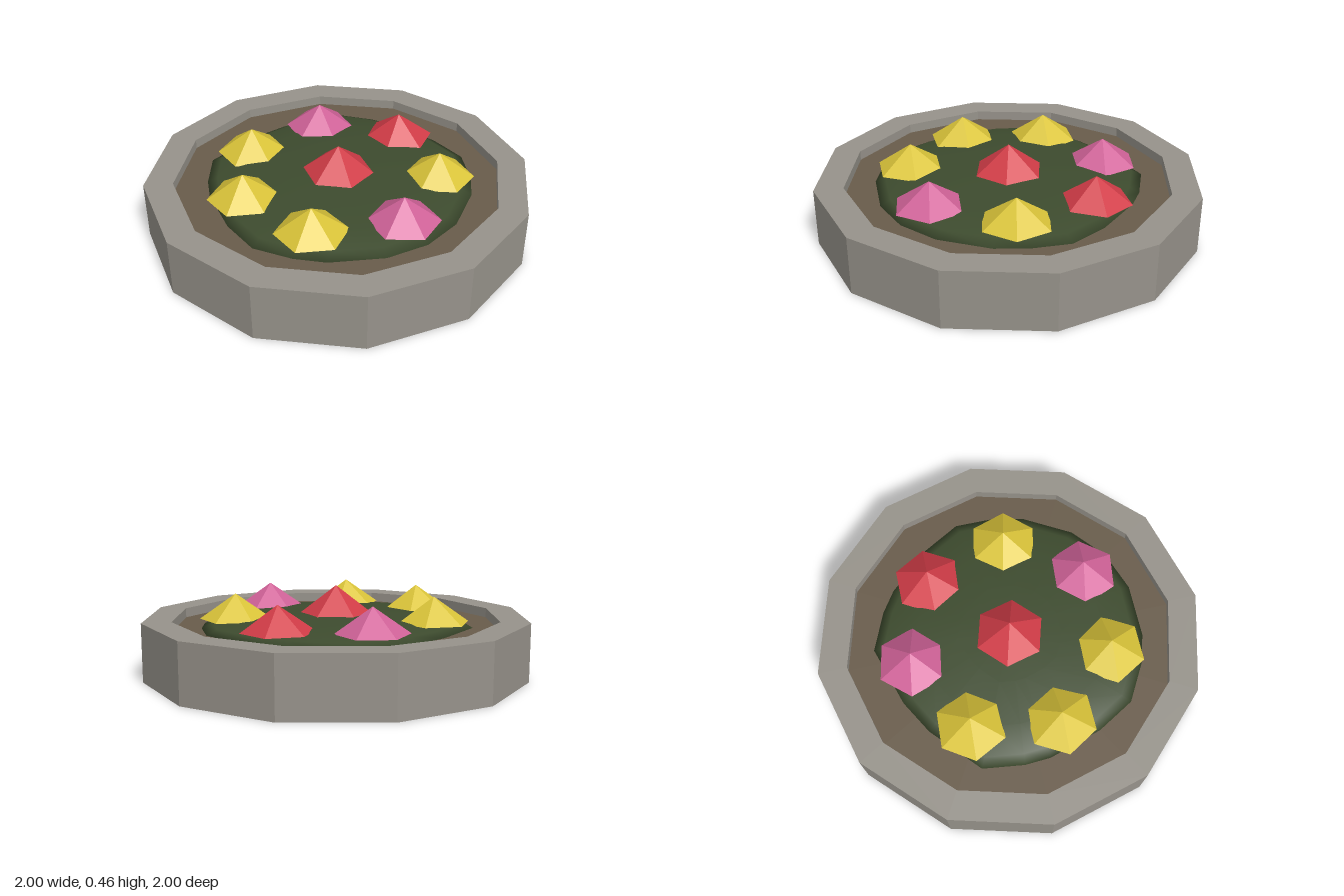
import * as THREE from 'three';
import { mergeVertices } from 'three/addons/utils/BufferGeometryUtils.js';

const SIDES = 12, SOIL_Y = 0.25, RIM_Y = 0.3, INNER = 0.85;

// Flattened mound with an irregular outline that mirrors front to back
function moundGeometry() {
  const half = [[-0.64, 0.1], [-0.57, 0.42], [-0.4, 0.55], [-0.28, 0.61], [0, 0.675],
    [0.22, 0.675], [0.4, 0.57], [0.52, 0.46], [0.66, 0.22]];
  const outline = [...half, [0.7, 0], ...half.map(([x, z]) => [x, -z]).reverse()];
  const profile = [];
  for (let j = 0; j <= 8; j++) {
    const a = (j / 8 - 0.5) * Math.PI;
    profile.push(new THREE.Vector2(Math.max(0, Math.cos(a)), Math.sin(a) * 0.068));
  }
  let geo = new THREE.LatheGeometry(profile, outline.length);
  const pos = geo.attributes.position;
  for (let i = 0; i < pos.count; i++) {
    const [x, z] = outline[Math.floor(i / profile.length) % outline.length];
    const r = profile[i % profile.length].x;
    pos.setX(i, x * r);
    pos.setZ(i, z * r);
  }
  geo.deleteAttribute('uv');
  geo.deleteAttribute('normal');
  geo = mergeVertices(geo, 1e-4);
  geo.computeVertexNormals();
  return geo;
}

export function createModel() {
  const group = new THREE.Group();
  const material = (name, color, extra) =>
    new THREE.MeshStandardMaterial({ name, color, ...extra });
  const flat = { flatShading: true };
  const open = { flatShading: true, side: THREE.DoubleSide };
  const stone = material('stone', 0x96928a, open);
  const soilBrown = material('soilBrown', 0x685b4a, open);
  const leafGreen = material('leafGreen', 0x3d4b2e);
  const red = material('red', 0xd13c47, flat);
  const yellow = material('yellow', 0xdac439, flat);
  const pink = material('pink', 0xd06298, flat);

  const add = (name, geo, mat, x = 0, y = 0, z = 0) => {
    const mesh = new THREE.Mesh(geo, mat);
    mesh.name = name;
    mesh.position.set(x, y, z);
    group.add(mesh);
    return mesh;
  };

  // Stone ring: outer wall, flat rim and inner lip, open underneath
  const ring = [[1, 0], [1, RIM_Y], [INNER, RIM_Y], [INNER, SOIL_Y]]
    .map(([x, y]) => new THREE.Vector2(x, y));
  add('stoneRing', new THREE.LatheGeometry(ring, SIDES), stone);

  // Soil bed and planted mound
  add('soil', new THREE.CircleGeometry(INNER, SIDES).rotateX(-Math.PI / 2), soilBrown, 0, SOIL_Y);
  add('foliageMound', moundGeometry(), leafGreen, 0, SOIL_Y);

  // Six-sided flowers; turn is the heading of the first corner in degrees
  const addFlower = (name, mat, radius, height, x, base, z, turn) => {
    const cone = new THREE.ConeGeometry(radius, height, 6);
    const mesh = add(name, cone, mat, x, base + height / 2, z);
    mesh.rotation.y = THREE.MathUtils.degToRad(30 - turn);
  };
  addFlower('centreFlower', red, 0.2, 0.155, 0, 0.302, 0, 16);

  const colours = [pink, yellow, yellow, yellow, pink, red, yellow];
  const turns = [8, 0, -1, 3, 11, 0, 12];
  colours.forEach((mat, i) => {
    const a = (i / colours.length) * Math.PI * 2;
    addFlower('flower' + (i + 1), mat, 0.185, 0.13,
      0.52 * Math.cos(a), 0.292, 0.52 * Math.sin(a), turns[i]);
  });
  return group;
}
